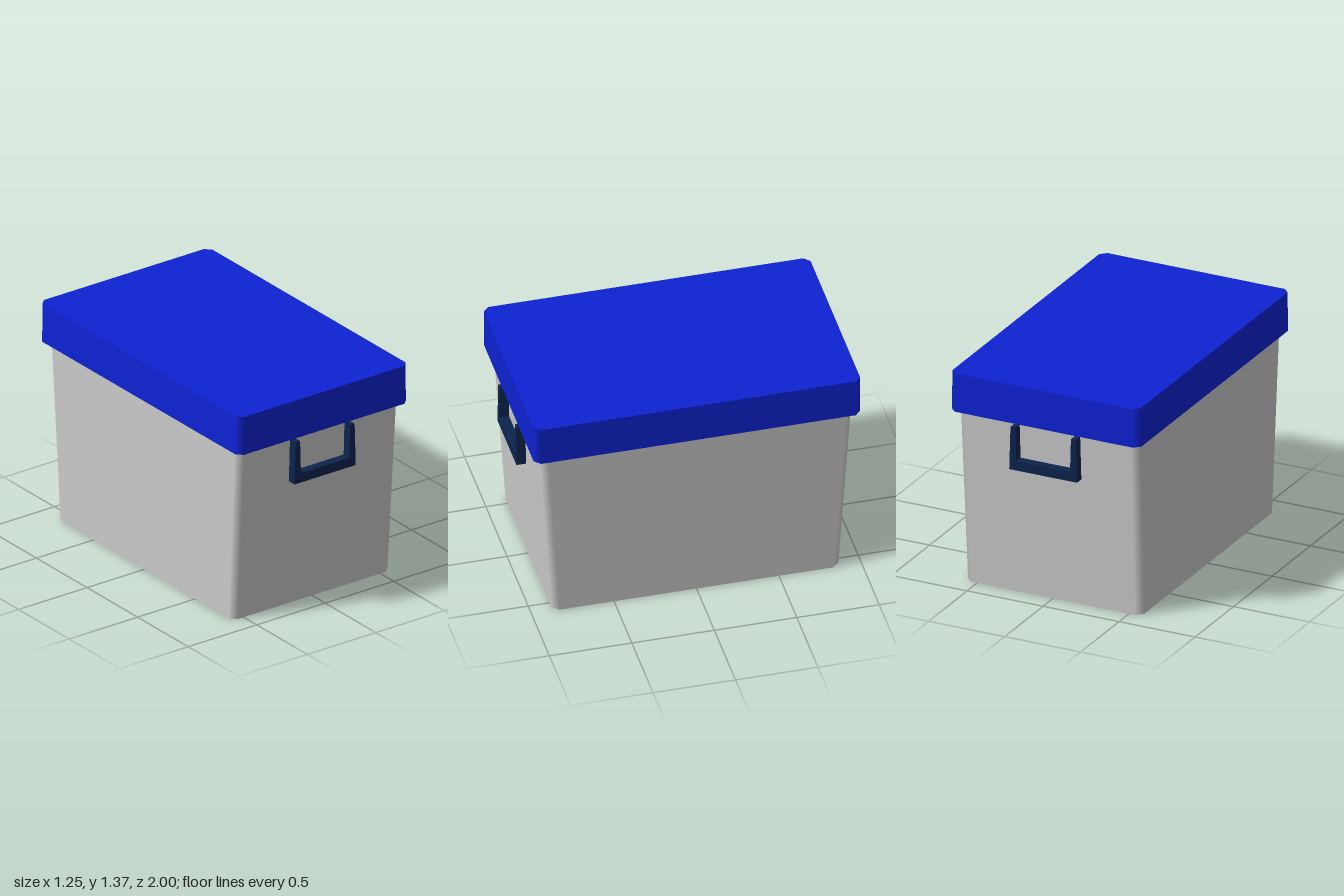
import * as THREE from 'three';

// Tapered box with bevelled, smoothly shaded upright corners and flat caps.
// lo and hi are [halfX, halfZ, y]; c is the corner cut.
function bevelledBox(lo, hi, c) {
  const ring = ([x, z, y]) => [
    [x, y, c - z], [x, y, z - c], [x - c, y, z], [c - x, y, z],
    [-x, y, z - c], [-x, y, c - z], [c - x, y, -z], [x - c, y, -z]];
  const bottom = ring(lo), top = ring(hi), height = hi[2] - lo[2];
  const pos = [], nor = [], index = [];
  // walls: corner vertices take the normal of their neighbouring large face
  for (let i = 0; i < 8; i++) {
    const a = Math.floor(i / 2) * Math.PI / 2, alongX = i % 4 < 2;
    const slope = (alongX ? lo[0] - hi[0] : lo[1] - hi[1]) / height;
    const n = new THREE.Vector3(Math.cos(a), slope, Math.sin(a)).normalize().toArray();
    pos.push(...bottom[i], ...top[i]);
    nor.push(...n, ...n);
    const p = 2 * i, q = 2 * ((i + 1) % 8);
    index.push(p, p + 1, q + 1, p, q + 1, q);
  }
  // caps
  [[bottom, -1], [top, 1]].forEach(([pts, dir]) => {
    const s = pos.length / 3;
    pts.forEach(p => { pos.push(...p); nor.push(0, dir, 0); });
    for (let i = 1; i < 7; i++) {
      index.push(s, ...(dir < 0 ? [s + i, s + i + 1] : [s + i + 1, s + i]));
    }
  });
  const g = new THREE.BufferGeometry();
  g.setAttribute('position', new THREE.Float32BufferAttribute(pos, 3));
  g.setAttribute('normal', new THREE.Float32BufferAttribute(nor, 3));
  g.setIndex(index);
  return g;
}

export function createModel() {
  const model = new THREE.Group();
  model.name = 'storageBox';
  const material = (name, color) => {
    const m = new THREE.MeshStandardMaterial({ color });
    m.name = name;
    return m;
  };
  const grey = material('lightGrey', 0xcbcbcb);
  const blue = material('brightBlue', 0x0d22d2);
  const navy = material('navy', 0x0c234e);

  const add = (name, geometry, mat, parent = model) => {
    const mesh = new THREE.Mesh(geometry, mat);
    mesh.name = name;
    parent.add(mesh);
    return mesh;
  };

  // tub, widening upwards, and its overhanging lid
  add('tub', bevelledBox([0.58, 0.87, 0], [0.59, 0.943, 1.135], 0.04), grey);
  add('lid', bevelledBox([0.623, 0.99, 1.127], [0.62, 0.99, 1.373], 0.036), blue);

  // U-shaped handle outline, uprights narrowing towards the top
  const outline = new THREE.Shape([
    [-0.223, 0.835], [0.223, 0.835], [0.215, 1.107], [0.183, 1.107],
    [0.177, 0.895], [-0.177, 0.895], [-0.183, 1.107], [-0.215, 1.107],
  ].map(([x, y]) => new THREE.Vector2(x, y)));
  const handle = new THREE.ExtrudeGeometry(outline, { depth: 0.057, bevelEnabled: false });
  handle.translate(0, 0, 0.943);

  // one handle at each end
  [['frontHandle', 0], ['backHandle', Math.PI]].forEach(([name, turn]) => {
    add(name, handle, navy).rotation.y = turn;
  });

  return model;
}
